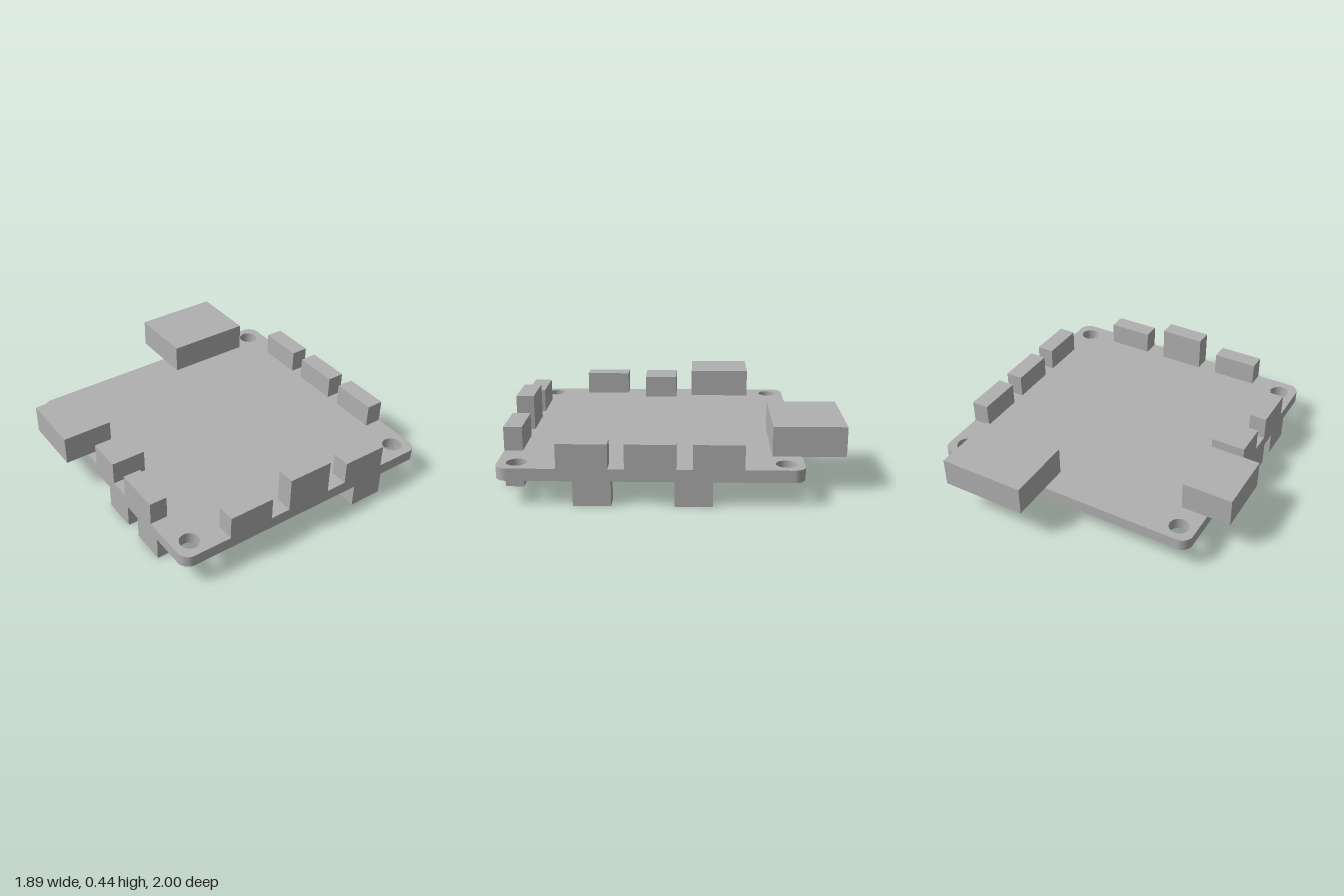
import * as THREE from 'three';

const grey = new THREE.MeshStandardMaterial({ color: 0xb0b0b0 });
grey.name = 'plain grey';

// Board extents and levels
const X0 = -0.8, X1 = 0.943, Z0 = -0.745, Z1 = 1;
const BOTTOM = 0.147, TOP = 0.22;
const DEPTH = 0.11; // how far edge connectors reach inward

function block(group, name, x0, x1, y0, y1, z0, z1) {
  const mesh = new THREE.Mesh(new THREE.BoxGeometry(x1 - x0, y1 - y0, z1 - z0), grey);
  mesh.position.set((x0 + x1) / 2, (y0 + y1) / 2, (z0 + z1) / 2);
  mesh.name = name;
  group.add(mesh);
}

// Rounded plate with four mounting holes; shape y maps to -z
function board() {
  const r = 0.07, a = -Z1, b = -Z0, q = Math.PI / 2;
  const shape = new THREE.Shape();
  shape.absarc(X1 - r, a + r, r, -q, 0);
  shape.absarc(X1 - r, b - r, r, 0, q);
  shape.absarc(X0 + r, b - r, r, q, 2 * q);
  shape.absarc(X0 + r, a + r, r, 2 * q, 3 * q);
  shape.closePath();
  for (const x of [-0.692, 0.835]) {
    for (const z of [-0.64, 0.888]) {
      const hole = new THREE.Path();
      hole.absarc(x, -z, 0.06, 0, Math.PI * 2, true);
      shape.holes.push(hole);
    }
  }
  const geo = new THREE.ExtrudeGeometry(shape, { depth: TOP - BOTTOM, bevelEnabled: false, curveSegments: 16 });
  geo.rotateX(-Math.PI / 2);
  geo.translate(0, BOTTOM, 0);
  const mesh = new THREE.Mesh(geo, grey);
  mesh.name = 'board';
  return mesh;
}

export function createModel() {
  const g = new THREE.Group();
  g.name = 'circuitBoard';
  g.add(board());

  // Large overhanging connectors
  block(g, 'backConnector', 0.163, 0.706, TOP, 0.4, -1, -0.572);
  block(g, 'rightSideConnector', -0.945, -0.633, TOP, 0.4, -0.49, -0.095);

  // Front edge connectors, the middle one taller
  for (const [x, top] of [[-0.49, 0.365], [-0.075, 0.437], [0.345, 0.365]])
    block(g, 'frontConnector', x, x + 0.288, TOP, top, Z1 - DEPTH, Z1);

  // Side edge connectors
  for (const z of [-0.403, -0.02, 0.362])
    block(g, 'leftEdgeConnector', X1 - DEPTH, X1, TOP, 0.365, z, z + 0.29);
  block(g, 'rightEdgeConnector', X0, X0 + DEPTH, TOP, 0.365, 0.362, 0.652);
  block(g, 'squareConnector', X0, -0.585, TOP, 0.365, 0.015, 0.232);

  // Supports below the board
  const w = 0.216;
  block(g, 'frontFoot', 0.43, 0.43 + w, 0, BOTTOM, Z1 - DEPTH, Z1);
  for (const z of [-0.226, 0.345])
    block(g, 'leftFoot', X1 - DEPTH, X1, 0, BOTTOM, z, z + w);
  for (const z of [0.17, 0.5])
    block(g, 'rightFoot', X0, X0 + DEPTH, 0, BOTTOM, z, z + w);
  return g;
}
